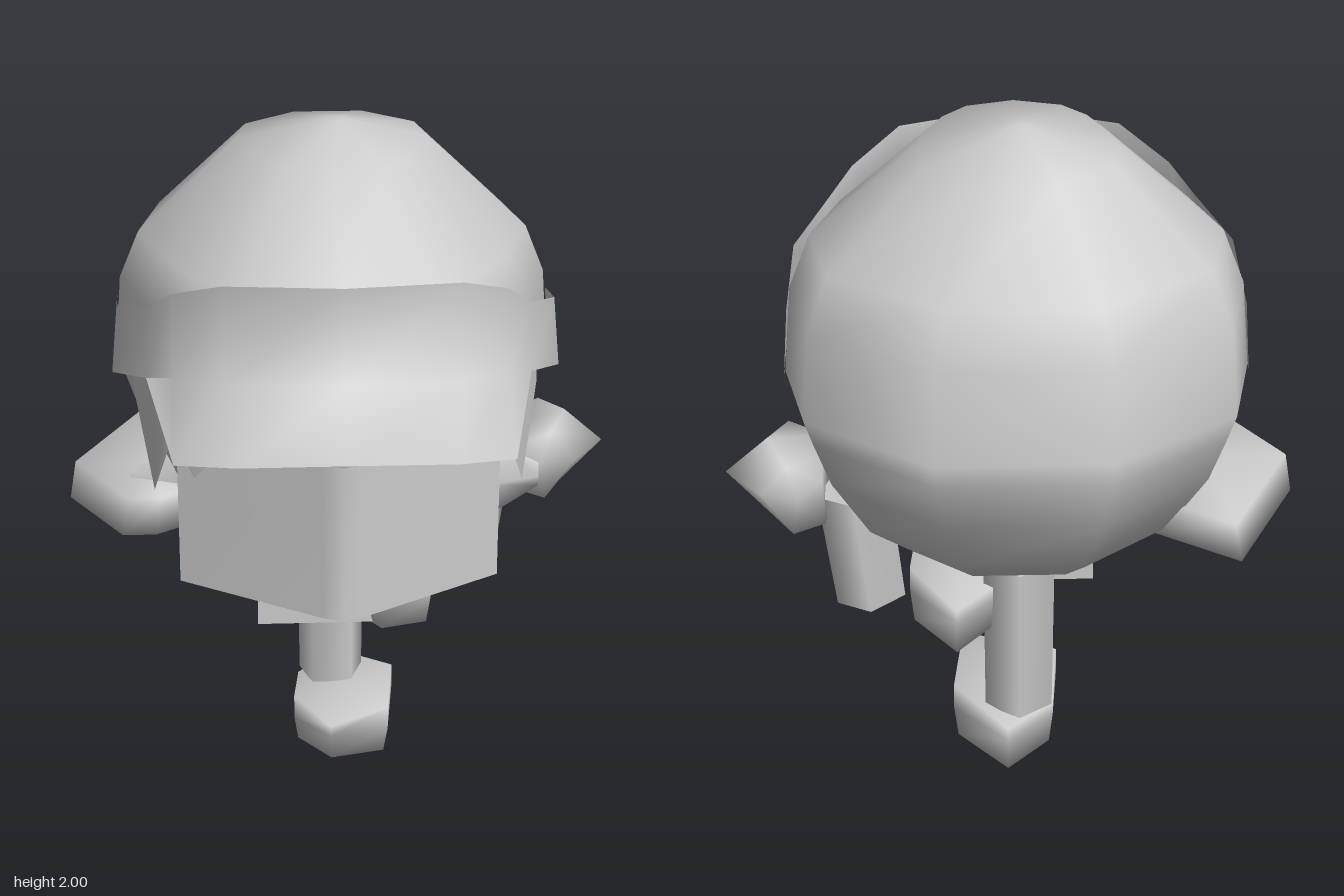
import * as THREE from 'three';

const grey = new THREE.MeshStandardMaterial({ color: 0xcccccc });
const sheetGrey = new THREE.MeshStandardMaterial({ color: 0xcccccc, side: THREE.DoubleSide });

function makeGeometry(points, index) {
  const g = new THREE.BufferGeometry();
  g.setAttribute('position', new THREE.Float32BufferAttribute(points.flat(), 3));
  g.setIndex(index);
  g.computeVertexNormals();
  return g;
}

// Closed smooth solid through equal-sized rings, capped at both ends
function loft(rings) {
  const n = rings[0].length, last = rings.length - 1, index = [];
  const points = rings.flat();
  for (let i = 0; i < last; i++) for (let j = 0; j < n; j++) {
    const a = i * n + j, b = i * n + (j + 1) % n;
    index.push(a, b, b + n, a, b + n, a + n);
  }
  const middle = r => [0, 1, 2].map(k => r.reduce((s, p) => s + p[k], 0) / n);
  const c = points.length;
  points.push(middle(rings[0]), middle(rings[last]));
  for (let j = 0; j < n; j++) {
    const k = (j + 1) % n;
    index.push(c, k, j, c + 1, last * n + j, last * n + k);
  }
  return makeGeometry(points, index);
}

// Open sheet through equal-length rows, lowest row first
function sheet(rows) {
  const n = rows[0].length, index = [];
  for (let i = 0; i < rows.length - 1; i++) for (let j = 0; j < n - 1; j++) {
    const a = i * n + j;
    index.push(a, a + 1, a + 1 + n, a, a + 1 + n, a + n);
  }
  return makeGeometry(rows.flat(), index);
}

// Mirror a half row (from side to centre) about the model's middle line
const MID = -0.02;
const mirrorRow = half => [
  ...half.map(([x, y, z]) => [MID - x, y, z]),
  ...half.slice(0, -1).reverse().map(([x, y, z]) => [MID + x, y, z]),
];

// Half plans from front to flat back: round skull, and wedge-shaped face below it
const PLAN = [[0, 1], [0.48, 0.88], [0.72, 0.65], [0.86, 0.38], [1, 0], [0.9, -0.55], [0.37, -1]];
const FACE_PLAN = [[0, 1], [0.48, 0.74], [0.72, 0.58], ...PLAN.slice(3)];

// Egg-shaped head: height, half width, front and back of each ring
function headGeometry() {
  const profile = [
    [0.545, 0.06, 0.08, -0.08], [0.61, 0.25, 0.24, -0.27], [0.7, 0.36, 0.32, -0.48],
    [0.84, 0.47, 0.39, -0.67], [1.06, 0.58, 0.43, -0.82], [1.2, 0.63, 0.43, -0.85],
    [1.27, 0.655, 0.45, -0.86], [1.52, 0.635, 0.43, -0.815], [1.67, 0.575, 0.4, -0.745],
    [1.94, 0.28, 0.07, -0.55], [2.0, 0.03, -0.23, -0.29],
  ];
  return loft(profile.map(([y, rx, front, back]) => {
    const half = y < 1.25 ? FACE_PLAN : PLAN;
    const plan = [...half, ...half.slice(1).reverse().map(([x, z]) => [-x, z])];
    const zc = front * 0.44 + back * 0.56;
    return plan.map(([x, z]) => [MID + rx * x, y, zc + z * (z > 0 ? front - zc : zc - back)]);
  }));
}

// Cap band and sloping brim
function visorGeometry() {
  const outer = [[0.66, 1.25, -0.28], [0.655, 1.32, 0], [0.55, 1.38, 0.2],
    [0.47, 1.27, 0.57], [0.295, 1.36, 0.8], [0, 1.385, 0.855]];
  const crease = [[0.66, 1.25, -0.28], [0.655, 1.32, 0], [0.55, 1.38, 0.2],
    [0.47, 1.41, 0.28], [0.33, 1.44, 0.42], [0, 1.47, 0.51]];
  const top = [[0.645, 1.46, -0.28], [0.635, 1.53, 0], [0.54, 1.59, 0.2],
    [0.47, 1.66, 0.28], [0.33, 1.73, 0.42], [0, 1.75, 0.51]];
  return sheet([outer, crease, top].map(mirrorRow));
}

// Jagged fringe hugging the head, with long locks at the temples
function fringeGeometry() {
  const tips = [[-0.62, 1.26], [-0.56, 0.98], [-0.5, 1.2], [-0.44, 1.1],
    [-0.31, 1.28], [-0.21, 1.22], [-0.09, 1.38], [-0.02, 1.25], [0.1, 1.28], [0.17, 1.25],
    [0.27, 1.33], [0.28, 1.19], [0.43, 1.25], [0.46, 1.2], [0.53, 0.98], [0.58, 1.24]];
  const onHead = (x, y) => {
    const u = Math.abs(x - MID) / 0.67;
    const i = PLAN.findIndex(p => p[0] > u);
    const [x0, z0] = PLAN[i - 1], [x1, z1] = PLAN[i];
    return [x, y, -0.28 + 0.755 * (z0 + (z1 - z0) * (u - x0) / (x1 - x0))];
  };
  return sheet([tips.map(([x, y]) => onHead(x, y)), tips.map(([x]) => onHead(x, 1.42))]);
}

// Shallow V-shaped panel standing in front of the face
function facePlateGeometry() {
  return sheet([0.72, 1.2].map(y => mirrorRow([[0.47, y, 0.17], [0.06, y, 0.43], [0, y, 0.455]])));
}

// Blunt shoe with an undercut toe and a pointed heel
function footGeometry(width) {
  const outline = [[-0.05, 0.05], [0.13, 0.01], [0.16, -0.27], [0, -0.45], [-0.14, -0.31], [-0.16, -0.08]];
  const ring = (y, s, toe, rise) => outline.map(([x, z]) =>
    [x * s * width, y + rise * (z > 0.02 || z < -0.3 ? -0.03 : 0.01), z > -0.1 ? z - toe : z]);
  return loft([ring(0, 0.92, 0.05, 0), ring(0.1, 1, 0.01, 0), ring(0.17, 1, 0, 1)]);
}

// Fist bulging halfway along its depth
function handGeometry() {
  const pentagon = [[0.53, 0.84], [0.68, 0.8], [0.82, 0.95], [0.7, 1.055], [0.54, 1.0]];
  const ring = (z, s) => pentagon.map(([x, y]) => [0.53 + (x - 0.53) * s, 0.93 + (y - 0.93) * (0.6 + s * 0.4), z]);
  return loft([ring(-0.43, 0.62), ring(-0.29, 1), ring(-0.15, 0.66)]);
}

// Flat arm swept out along the other side
function sideArmGeometry() {
  const outline = [[-0.56, 0.06], [-0.4, -0.05], [-0.4, -0.45], [-0.64, -0.62], [-0.83, -0.22], [-0.66, 0.06]];
  const ring = (y, shift) => outline.map(([x, z]) => [x + shift, y, z]);
  return loft([ring(0.82, 0), ring(0.94, 0.02)]);
}

// Five-sided leg with one edge facing back
const legGeometry = height => new THREE.CylinderGeometry(0.11, 0.105, height, 5, 1, false, Math.PI);

export function createModel() {
  const model = new THREE.Group();
  const add = (name, geometry, x = 0, y = 0, z = 0, material = grey) => {
    const mesh = new THREE.Mesh(geometry, material);
    mesh.name = name;
    mesh.position.set(x, y, z);
    model.add(mesh);
    return mesh;
  };

  add('head', headGeometry());
  add('visor', visorGeometry(), 0, 0, 0, sheetGrey);
  add('fringe', fringeGeometry(), 0, 0, 0, sheetGrey);
  add('facePlate', facePlateGeometry(), 0, 0, 0, sheetGrey);

  // Blunt wedge ears
  for (const side of [-1, 1]) {
    const ear = add(side > 0 ? 'leftEar' : 'rightEar',
      new THREE.CylinderGeometry(0.04, 0.14, 0.16, 5), MID + side * 0.54, 0.92, -0.11);
    ear.rotation.z = -side * Math.PI / 2;
    ear.scale.z = 0.6;
  }

  // Arms
  add('leftHand', handGeometry());
  add('rightArm', sideArmGeometry());

  // Standing leg, raised leg and their shoes
  add('standingLeg', legGeometry(0.5), -0.025, 0.4, -0.3);
  add('standingFoot', footGeometry(1), 0.01, 0, 0);
  add('raisedLeg', legGeometry(0.36), 0.43, 0.74, -0.34).rotation.z = -0.12;
  add('raisedFoot', footGeometry(0.85), 0.16, 0.44, -0.03);

  // Thin hem below the head
  add('hem', new THREE.BoxGeometry(0.47, 0.135, 0.03), -0.025, 0.513, -0.08);

  return model;
}
